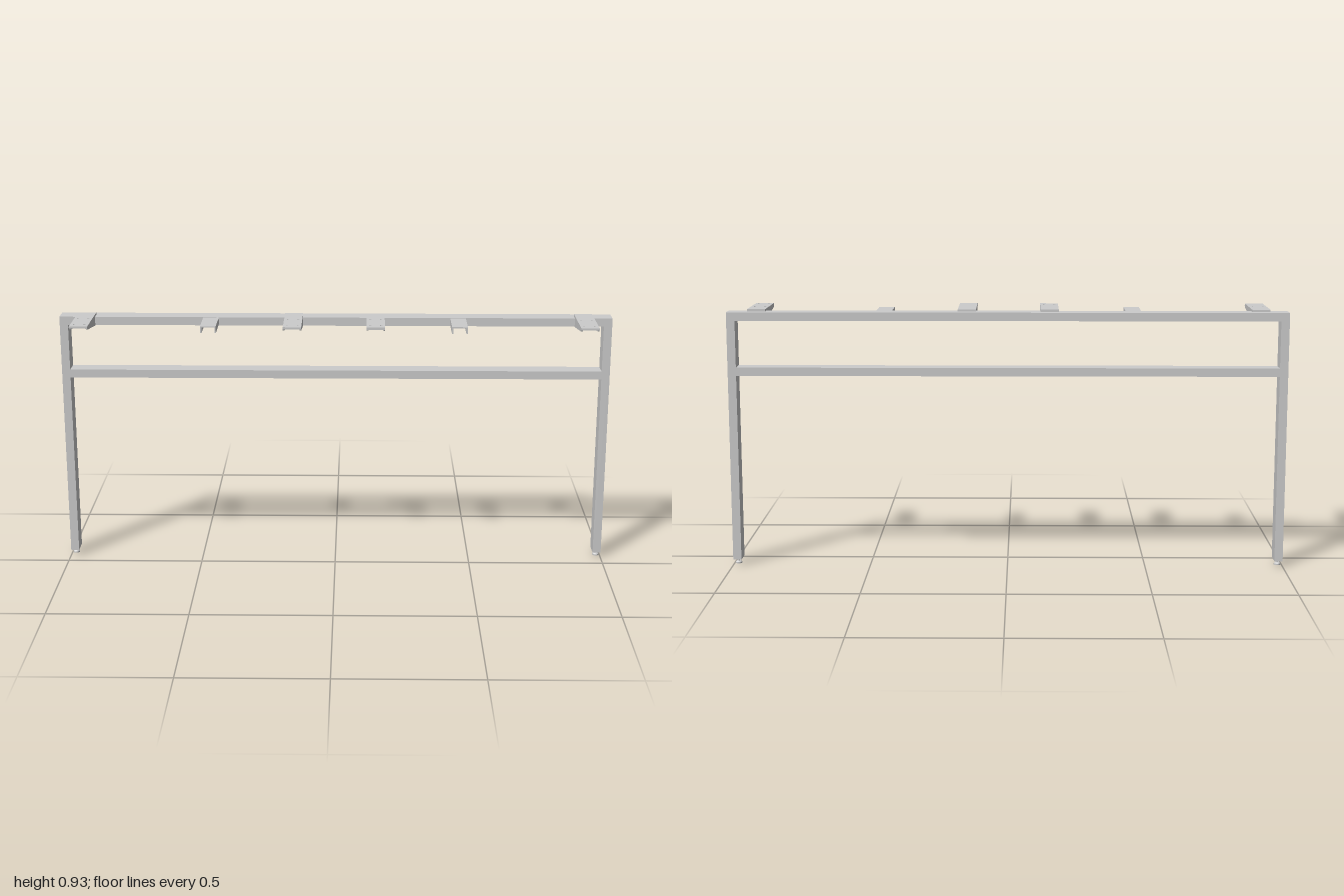
import * as THREE from 'three';

const material = new THREE.MeshStandardMaterial({ color: 0xcccccc, flatShading: true });
const FRAME_Z = -0.09, FRAME_DEPTH = 0.066, FRAME_FRONT = -0.057;
const FRAME_TOP = 0.925;

function add(parent, name, geometry, x = 0, y = 0, z = 0) {
  const mesh = new THREE.Mesh(geometry, material);
  mesh.name = name;
  mesh.position.set(x, y, z);
  parent.add(mesh);
  return mesh;
}

// Box given by its lower and upper corners
function box(parent, name, [x0, y0, z0], [x1, y1, z1]) {
  return add(parent, name, new THREE.BoxGeometry(x1 - x0, y1 - y0, z1 - z0),
    (x0 + x1) / 2, (y0 + y1) / 2, (z0 + z1) / 2);
}

// Long tapered bracket: drilled plate resting on the beam, with two side flanges
function supportBracket(x) {
  const group = new THREE.Group();
  group.name = 'supportBracket';
  group.position.x = x;
  const half = 0.0325, top = 0.933, tip = 0.123, wall = 0.006;

  const plate = new THREE.Shape([
    [-half, -0.091], [half, -0.091], [half, tip], [-half, tip],
  ].map(([a, b]) => new THREE.Vector2(a, b)));
  for (const hx of [-0.019, 0.019]) {
    for (const hz of [0.008, 0.09]) {
      plate.holes.push(new THREE.Path().absarc(hx, hz, 0.004, 0, Math.PI * 2, true));
    }
  }
  const plateGeometry = new THREE.ExtrudeGeometry(plate,
    { depth: top - FRAME_TOP, bevelEnabled: false, curveSegments: 8 });
  add(group, 'plate', plateGeometry.rotateX(Math.PI / 2), 0, top, 0);

  const flange = new THREE.Shape([
    [FRAME_FRONT, 0.893], [0.117, 0.92], [tip, top], [FRAME_FRONT, top],
  ].map(([a, b]) => new THREE.Vector2(a, b)));
  const flangeGeometry = new THREE.ExtrudeGeometry(flange, { depth: wall, bevelEnabled: false })
    .rotateY(-Math.PI / 2);
  add(group, 'leftFlange', flangeGeometry, half);
  add(group, 'rightFlange', flangeGeometry, -half + wall);
  return group;
}

// Short straight channel, open below and at the front
function shortChannel(x) {
  const group = new THREE.Group();
  group.name = 'shortChannel';
  group.position.x = x;
  const half = 0.028, wall = 0.005, bottom = 0.899, top = 0.924, front = 0.077;
  box(group, 'web', [-half, top - wall, FRAME_FRONT], [half, top, front]);
  box(group, 'rightFlange', [-half, bottom, FRAME_FRONT], [-half + wall, top - wall, front]);
  box(group, 'leftFlange', [half - wall, bottom, FRAME_FRONT], [half, top - wall, front]);
  return group;
}

// Levelling foot: flared pad on a thin threaded stem
function levellingFoot(x) {
  const profile = [[0, 0], [0.012, 0], [0.012, 0.005], [0.008, 0.009],
    [0.004, 0.009], [0.004, 0.022], [0, 0.022]];
  const mesh = new THREE.Mesh(
    new THREE.LatheGeometry(profile.map(([r, y]) => new THREE.Vector2(r, y)), 16), material);
  mesh.name = 'levellingFoot';
  mesh.position.set(x, 0, FRAME_Z);
  return mesh;
}

export function createModel() {
  const model = new THREE.Group();
  model.name = 'tableFrame';

  // Legs with feet
  const legWidth = 0.03, legX = 1 - legWidth / 2, legBottom = 0.02;
  for (const side of [-1, 1]) {
    add(model, side > 0 ? 'leftLeg' : 'rightLeg',
      new THREE.BoxGeometry(legWidth, FRAME_TOP - legBottom, FRAME_DEPTH),
      side * legX, (FRAME_TOP + legBottom) / 2, FRAME_Z);
    model.add(levellingFoot(side * legX));
  }

  // Horizontal members between the legs
  const inner = 1 - legWidth, back = FRAME_Z - FRAME_DEPTH / 2;
  box(model, 'topBeam', [-inner, 0.895, back], [inner, FRAME_TOP, FRAME_FRONT]);
  box(model, 'lowerRail', [-inner, 0.697, back], [inner, 0.727, FRAME_FRONT]);

  // Brackets along the beam
  for (const x of [-0.903, -0.15, 0.145, 0.897]) model.add(supportBracket(x));
  for (const x of [-0.45, 0.443]) model.add(shortChannel(x));

  return model;
}
